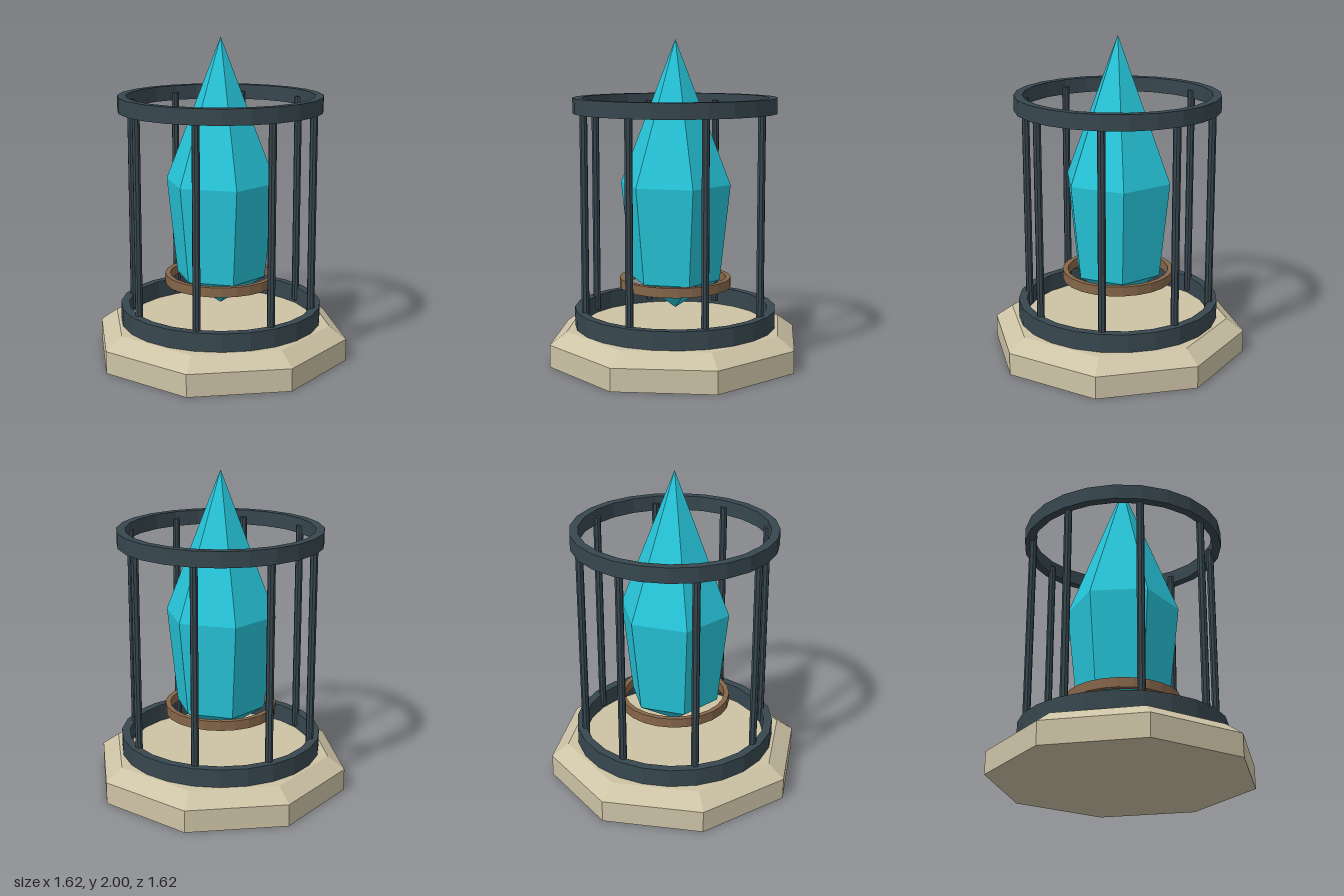
import * as THREE from 'three';

const material = (name, color) => {
  const m = new THREE.MeshStandardMaterial({ color, flatShading: true });
  m.name = name;
  return m;
};

export function createModel() {
  const stone = material('pale stone', 0xcdc3a6);
  const iron = material('dark iron', 0x37474f);
  const bronze = material('bronze', 0x86664a);
  const cyan = material('cyan crystal', 0x26c6da);

  const model = new THREE.Group();
  model.name = 'cagedCrystal';

  const add = (name, geometry, mat, parent = model) => {
    const mesh = new THREE.Mesh(geometry, mat);
    mesh.name = name;
    parent.add(mesh);
    return mesh;
  };

  // Revolve [radius, height] points, listed upwards along the outside
  const lathe = (points, sides, start = 0) =>
    new THREE.LatheGeometry(points.map(([r, y]) => new THREE.Vector2(r, y)), sides, start);

  // Flat band with a rectangular section
  const band = (inner, outer, y0, y1, sides) =>
    lathe([[inner, y0], [outer, y0], [outer, y1], [inner, y1], [inner, y0]], sides);

  // Octagonal plinth with a sloped shoulder
  add('plinth', lathe([[0, 0], [0.808, 0], [0.808, 0.14], [0.7, 0.217], [0, 0.217]], 8), stone);

  // Cage: two hoops joined by eight bars
  const cage = new THREE.Group();
  cage.name = 'cage';
  model.add(cage);
  add('lowerHoop', band(0.58, 0.633, 0.217, 0.33, 24), iron, cage);
  add('upperHoop', band(0.58, 0.633, 1.55, 1.645, 24), iron, cage);
  const barGeometry = new THREE.CylinderGeometry(0.024, 0.024, 1.36, 8);
  for (let i = 0; i < 8; i++) {
    const a = (i * Math.PI) / 4;
    const bar = add('cageBar', barGeometry, iron, cage);
    bar.position.set(0.58 * Math.sin(a), 0.92, 0.58 * Math.cos(a));
  }

  // Collar around the foot of the crystal
  add('collar', band(0.318, 0.35, 0.46, 0.52, 24), bronze);

  // Six-sided crystal, pointed at both ends
  add('crystal', lathe([[0, 0.32], [0.284, 0.51], [0.35, 1.11], [0, 2]], 6, Math.PI / 6), cyan);

  return model;
}
